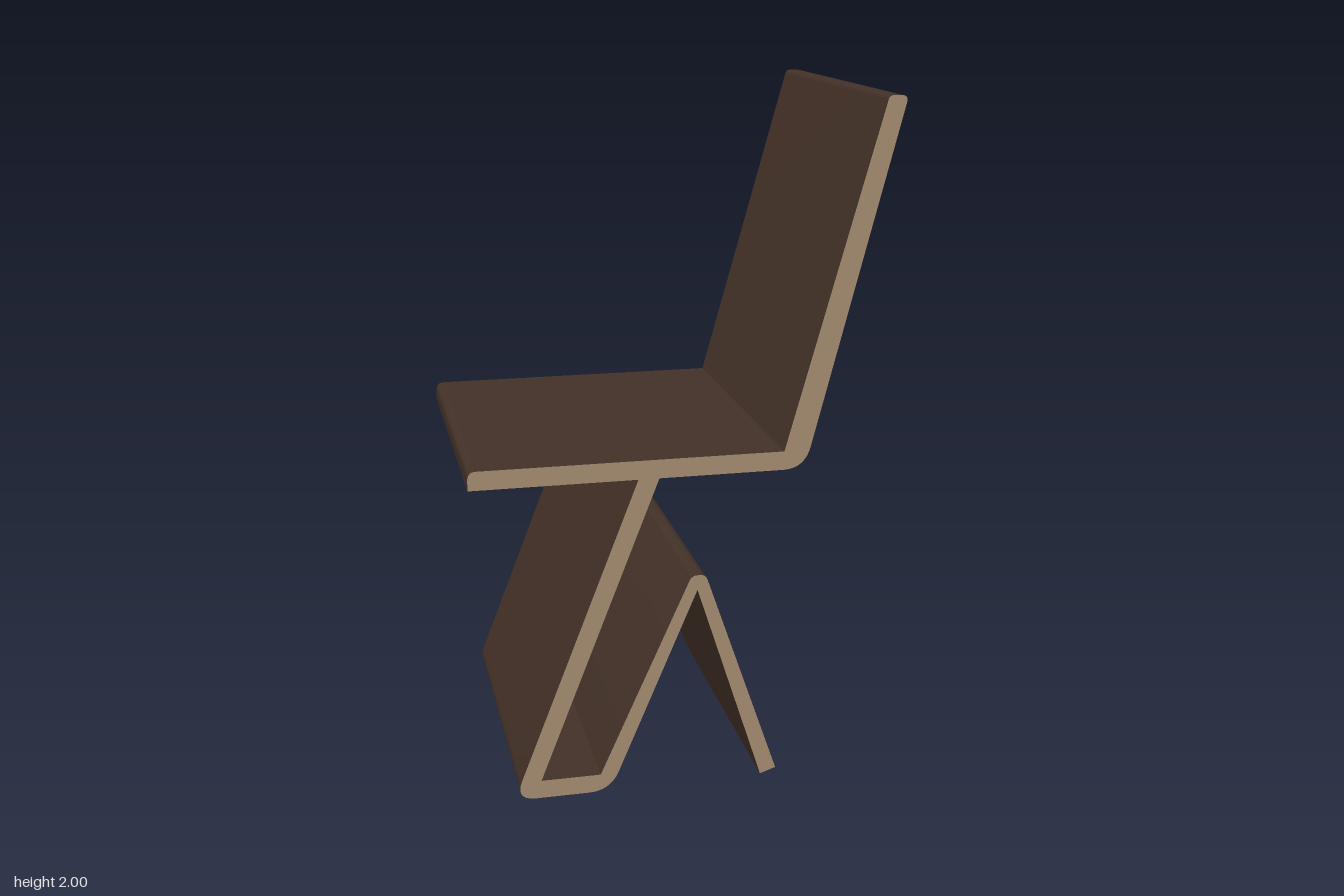
import * as THREE from 'three';
import { toCreasedNormals } from 'three/addons/utils/BufferGeometryUtils.js';

const WIDTH = 0.96;

// Closed outline from corners [x, y, rounding], each corner cut back by its rounding
function roundedShape(corners) {
  const shape = new THREE.Shape();
  const pts = corners.map(([x, y]) => new THREE.Vector2(x, y));
  const toward = (a, b, d) => a.clone().add(b.clone().sub(a).setLength(d));
  corners.forEach(([, , r = 0], i) => {
    const p = pts[i];
    const prev = pts[(i + pts.length - 1) % pts.length];
    const next = pts[(i + 1) % pts.length];
    const a = r ? toward(p, prev, r) : p;
    if (i === 0) shape.moveTo(a.x, a.y);
    else shape.lineTo(a.x, a.y);
    if (r) {
      const b = toward(p, next, r);
      shape.quadraticCurveTo(p.x, p.y, b.x, b.y);
    }
  });
  shape.closePath();
  return shape;
}

export function createModel() {
  const edgeWood = new THREE.MeshStandardMaterial({ color: 0xa88e74 });
  edgeWood.name = 'bare plywood edge';
  const darkWood = new THREE.MeshStandardMaterial({ color: 0x433127 });
  darkWood.name = 'dark wood face';

  const group = new THREE.Group();
  group.name = 'foldedPlywoodChair';

  // Bent sheet: pale cut edges on the caps, dark faces along the sides
  function addSheet(name, corners) {
    const flat = new THREE.ExtrudeGeometry(roundedShape(corners), {
      depth: WIDTH, bevelEnabled: false, curveSegments: 10,
    });
    flat.translate(0, 0, -WIDTH / 2);
    const mesh = new THREE.Mesh(toCreasedNormals(flat, 0.45), [edgeWood, darkWood]);
    mesh.name = name;
    group.add(mesh);
  }

  // Seat bending up into the backrest
  addSheet('seatAndBackrest', [
    [-0.612, 0.957],
    [0.348, 0.957, 0.065],
    [0.614, 2.0, 0.022],
    [0.559, 2.0, 0.012],
    [0.287, 1.012],
    [-0.612, 1.012, 0.025],
  ]);

  // Folded support: sloping leg, floor strip, rising panel and rear leg
  addSheet('foldedBase', [
    [-0.135, 0.958],
    [-0.505, 0, 0.065],
    [-0.221, 0, 0.065],
    [0.037, 0.612],
    [0.235, 0.003],
    [0.282, 0.019],
    [0.061, 0.657, 0.017],
    [0.02, 0.657, 0.017],
    [-0.25, 0.055],
    [-0.425, 0.055],
    [-0.075, 0.958],
  ]);

  return group;
}
